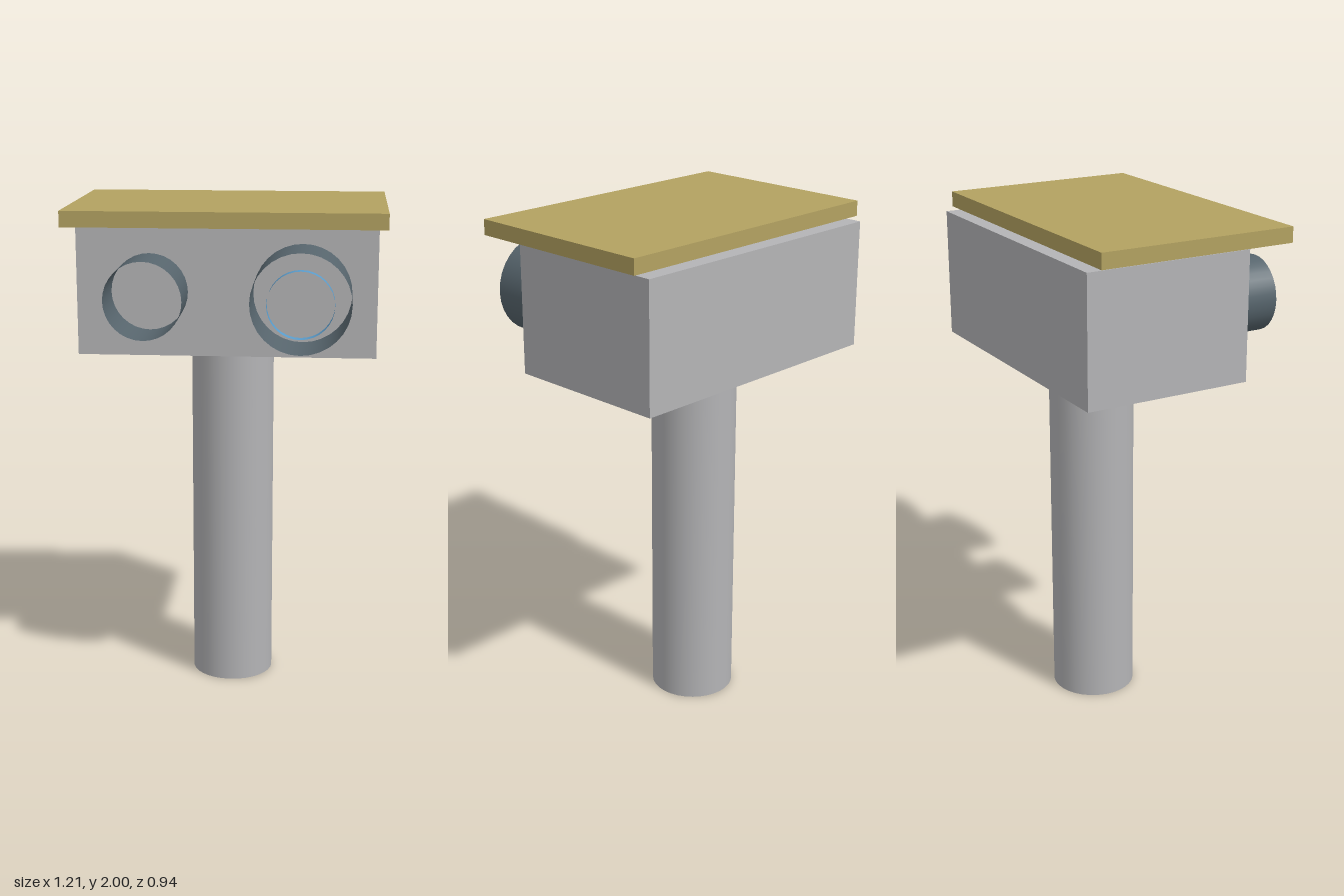
import * as THREE from 'three';

const paint = (name, color, side = THREE.FrontSide) => {
  const m = new THREE.MeshStandardMaterial({ color, side });
  m.name = name;
  return m;
};

export function createModel() {
  const model = new THREE.Group();
  model.name = 'viewer';
  const grey = paint('light grey', 0xb4b4b6, THREE.DoubleSide);
  const gold = paint('dull gold', 0xb3a261);
  const slate = paint('slate', 0x57656d, THREE.DoubleSide);
  const blue = paint('blue', 0x5a9ccb, THREE.DoubleSide);

  const add = (name, geometry, material, x, y, z) => {
    const mesh = new THREE.Mesh(geometry, material);
    mesh.name = name;
    mesh.position.set(x, y, z);
    model.add(mesh);
  };

  // Open-ended tube pointing forwards, from z0 to z1
  const tube = (name, material, x, radius, z0, z1) => {
    const g = new THREE.CylinderGeometry(radius, radius, z1 - z0, 32, 1, true);
    g.rotateX(Math.PI / 2);
    add(name, g, material, x, 1.678, (z0 + z1) / 2);
  };

  // Hollow post, housing and the roof floating just above it
  add('post', new THREE.CylinderGeometry(0.167, 0.167, 1.43, 32, 1, true), grey, 0, 0.715, -0.135);
  add('housing', new THREE.BoxGeometry(1.15, 0.5, 0.67), grey, 0, 1.68, -0.135);
  add('roof', new THREE.BoxGeometry(1.21, 0.06, 0.795), gold, 0, 1.97, -0.032);

  // Eyepieces: a small one, and a large one with a blue lens ring
  tube('smallBarrel', slate, -0.294, 0.147, 0.2, 0.425);
  tube('largeBarrel', slate, 0.291, 0.188, 0.2, 0.45);
  tube('lensRing', blue, 0.291, 0.125, 0.43, 0.47);

  return model;
}
